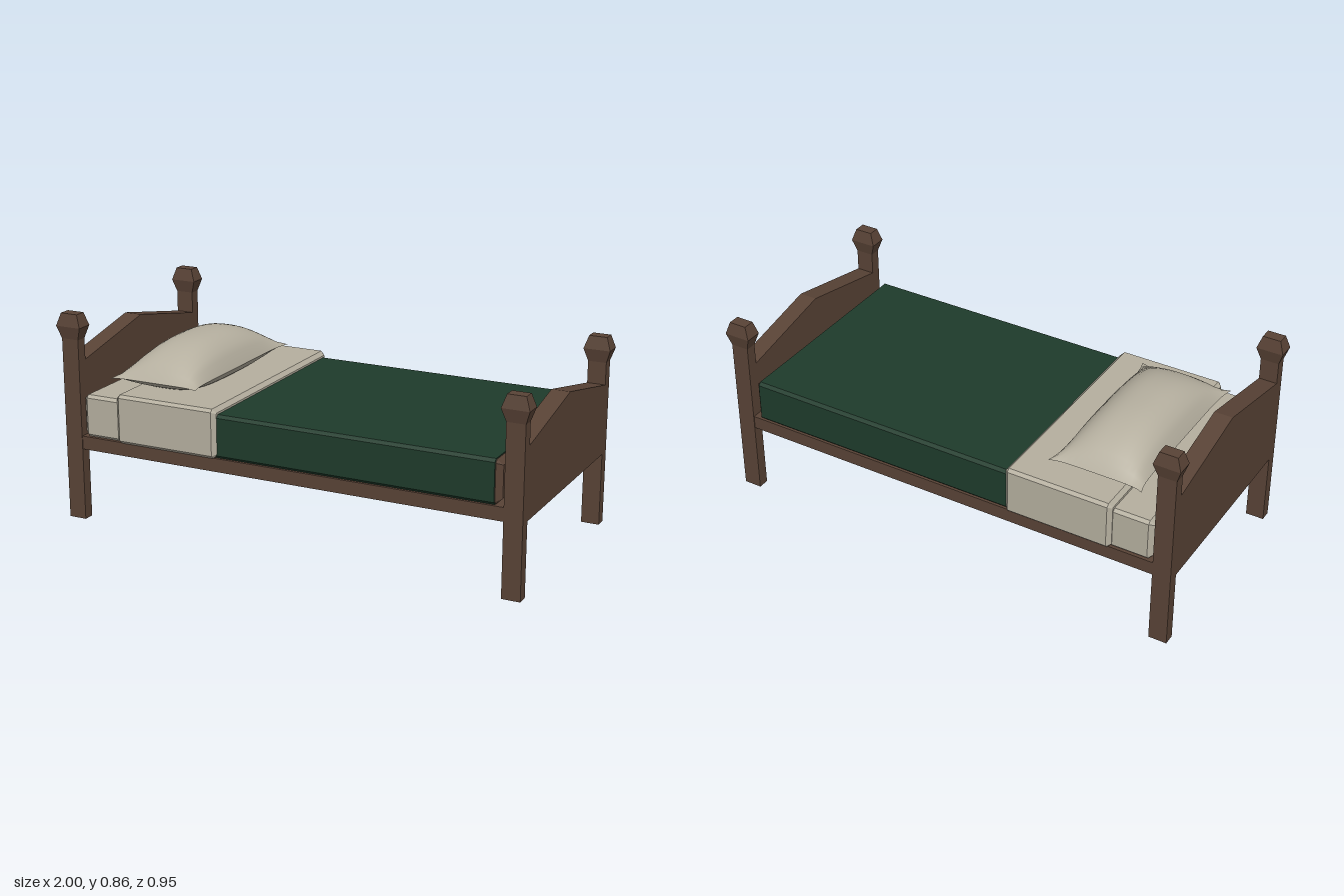
import * as THREE from 'three';

const material = (color, flatShading = true) =>
  new THREE.MeshStandardMaterial({ color, flatShading });
const wood = material(0x594336);
const linen = material(0xb5af9f);
const pillowLinen = material(0xb5af9f, false);
pillowLinen.side = THREE.DoubleSide;
const blanketGreen = material(0x1e3b2b);

const POST_X = 0.945, POST_Z = 0.4375, POST_W = 0.075, POST_D = 0.046;

function add(parent, name, geometry, mat) {
  const mesh = new THREE.Mesh(geometry, mat);
  mesh.name = name;
  parent.add(mesh);
  return mesh;
}

// Extrudes a [z, y] outline along x from x0 to x1, with optional bevelled ends
function extrudeAlongX(points, x0, x1, bevel = 0) {
  const shape = new THREE.Shape(points.map(([z, y]) => new THREE.Vector2(z, y)));
  const geometry = new THREE.ExtrudeGeometry(shape, {
    depth: x1 - x0 - 2 * bevel, bevelEnabled: bevel > 0, bevelSegments: 1,
    bevelSize: bevel, bevelThickness: bevel, bevelOffset: -bevel,
  });
  return geometry.rotateY(Math.PI / 2).translate(x0 + bevel, 0, 0);
}

// Block of bedding whose long edges are cut by c
function softBlock(x0, x1, y0, y1, halfZ, c, bevel) {
  return extrudeAlongX([
    [-halfZ + c, y0], [halfZ - c, y0], [halfZ, y0 + c], [halfZ, y1 - c],
    [halfZ - c, y1], [-halfZ + c, y1], [-halfZ, y1 - c], [-halfZ, y0 + c],
  ], x0, x1, bevel);
}

// Four-sided frustum with rectangular ends
function frustum(w0, d0, w1, d1, height) {
  const geometry = new THREE.BoxGeometry(1, height, 1).translate(0, height / 2, 0);
  const p = geometry.attributes.position;
  for (let i = 0; i < p.count; i++) {
    const top = p.getY(i) > height / 2;
    p.setX(i, p.getX(i) * (top ? w1 : w0));
    p.setZ(i, p.getZ(i) * (top ? d1 : d0));
  }
  geometry.computeVertexNormals();
  return geometry;
}

// Square post with a faceted finial
function bedPost(name, x, z, height) {
  const post = new THREE.Group();
  post.name = name;
  const neck = height - 0.104;
  add(post, 'postShaft', frustum(POST_W, POST_D, POST_W, POST_D, neck), wood);
  add(post, 'finialLower', frustum(POST_W, POST_D, 0.11, 0.07, 0.052), wood).position.y = neck;
  add(post, 'finialUpper', frustum(0.11, 0.07, 0.074, 0.048, 0.052), wood).position.y = neck + 0.052;
  post.position.set(x, 0, z);
  return post;
}

// Gabled end board between two posts
function endBoard(x, shoulder, peak) {
  const z = POST_Z - POST_D / 2;
  return extrudeAlongX(
    [[-z, 0.3], [z, 0.3], [z, shoulder], [0, peak], [-z, shoulder]],
    x - POST_W / 2, x + POST_W / 2);
}

// One face of the pillow: a puffed grid with pinched sides and pointed corners
function pillowFace(height) {
  const geometry = new THREE.PlaneGeometry(2, 2, 16, 24).rotateX(height > 0 ? -Math.PI / 2 : Math.PI / 2);
  const p = geometry.attributes.position;
  const puff = (t) => Math.pow(Math.max(0, 1 - Math.pow(Math.abs(t), 2.5)), 0.7);
  for (let i = 0; i < p.count; i++) {
    const u = p.getX(i), v = p.getZ(i);
    p.setXYZ(i,
      0.195 * u * (1 - 0.09 * (1 - v ** 8)),
      height * puff(u) * puff(v),
      0.382 * v * (1 - 0.04 * (1 - u ** 6)));
  }
  geometry.computeVertexNormals();
  return geometry;
}

export function createModel() {
  const bed = new THREE.Group();
  bed.name = 'bed';

  // Wooden frame
  for (const side of [1, -1]) {
    const label = side > 0 ? 'Front' : 'Back';
    bed.add(bedPost('headPost' + label, -POST_X, side * POST_Z, 0.858));
    bed.add(bedPost('footPost' + label, POST_X, side * POST_Z, 0.784));
  }
  add(bed, 'headboard', endBoard(-POST_X, 0.665, 0.753), wood);
  add(bed, 'footboard', endBoard(POST_X, 0.59, 0.676), wood);
  add(bed, 'bedBase', new THREE.BoxGeometry(1.82, 0.055, 0.915), wood).position.y = 0.3275;

  // Bedding
  add(bed, 'mattress', softBlock(-0.9, -0.3, 0.355, 0.53, 0.455, 0.012, 0.02), linen);
  add(bed, 'mattressFoot', softBlock(0.8, 0.892, 0.356, 0.528, 0.453, 0.012, 0.022), wood);
  add(bed, 'blanket', softBlock(-0.31, 0.868, 0.355, 0.532, 0.458, 0.012, 0), blanketGreen);
  add(bed, 'foldedSheet', softBlock(-0.735, -0.283, 0.355, 0.556, 0.474, 0.012, 0.016), linen);

  // Pillow
  const pillow = new THREE.Group();
  pillow.name = 'pillow';
  add(pillow, 'pillowTop', pillowFace(0.13), pillowLinen);
  add(pillow, 'pillowUnderside', pillowFace(-0.07), pillowLinen);
  pillow.position.set(-0.615, 0.59, 0);
  bed.add(pillow);

  return bed;
}
